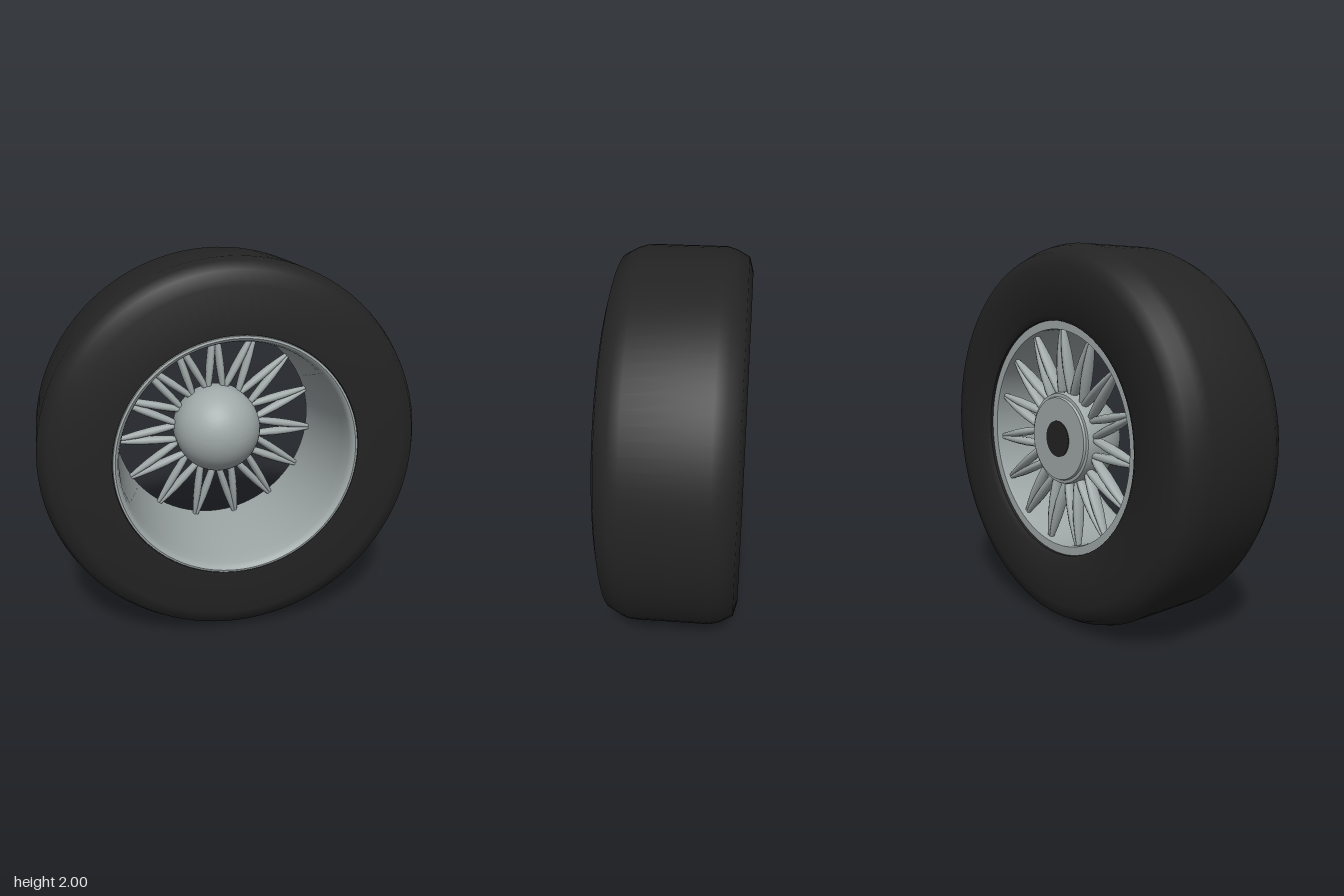
import * as THREE from 'three';
import { toCreasedNormals } from 'three/addons/utils/BufferGeometryUtils.js';

const rubber = new THREE.MeshStandardMaterial({ color: 0x232323 });
rubber.name = 'black rubber';
const metal = new THREE.MeshStandardMaterial({ color: 0xa0a8a8 });
metal.name = 'silver metal';

// Lathe around the z axle from [radius, z] pairs, running from back to front on the outside
function turned(name, profile, material, segments = 72) {
  const points = profile.map(([r, z]) => new THREE.Vector2(r, z));
  const geometry = new THREE.LatheGeometry(points, segments).rotateX(Math.PI / 2);
  const mesh = new THREE.Mesh(toCreasedNormals(geometry, 0.8), material);
  mesh.name = name;
  return mesh;
}

// Spindle-shaped strand between two points, deeper along z than it is wide
function spokeGeometry(from, to) {
  const length = from.distanceTo(to);
  const profile = [[0.012, 0], [0.02, 0.2], [0.023, 0.42], [0.021, 0.65], [0.015, 0.86], [0.009, 1]]
    .map(([r, t]) => new THREE.Vector2(r, t * length));
  const geometry = new THREE.LatheGeometry(profile, 10);
  geometry.scale(1, 1, 1.5);
  const direction = to.clone().sub(from).normalize();
  const turn = new THREE.Quaternion().setFromUnitVectors(new THREE.Vector3(0, 1, 0), direction);
  return geometry.applyQuaternion(turn).translate(from.x, from.y, from.z);
}

export function createModel() {
  const model = new THREE.Group();
  model.name = 'wheel';
  const wheel = new THREE.Group();
  wheel.name = 'wheelAssembly';
  wheel.position.y = 1;
  model.add(wheel);

  // Tyre with flat tread, rounded shoulders and flat side walls
  const shoulder = [[0.88, 0.335], [0.95, 0.315], [0.985, 0.25], [1, 0.2]];
  wheel.add(turned('tyre', [
    [0.612, -0.25], [0.612, -0.315], [0.64, -0.335],
    ...shoulder.map(([r, z]) => [r, -z]),
    ...shoulder.slice().reverse(),
    [0.64, 0.332], [0.62, 0.25], [0.612, -0.25],
  ], rubber, 96));

  // Deep rim barrel with a rolled front lip
  wheel.add(turned('rim', [
    [0.568, -0.3], [0.613, -0.3], [0.615, 0.28], [0.638, 0.32], [0.636, 0.335],
    [0.625, 0.338], [0.612, 0.33], [0.603, 0.3], [0.597, 0.22], [0.565, -0.28], [0.568, -0.3],
  ], metal, 96));

  // Hub: back plate, collar and a hemispherical front dome
  const dome = [];
  for (let i = 0; i <= 14; i++) {
    const a = (i / 14) * Math.PI / 2;
    dome.push([i === 14 ? 0 : 0.242 * Math.cos(a), -0.18 + 0.242 * Math.sin(a)]);
  }
  wheel.add(turned('hub', [
    [0, -0.292], [0.215, -0.292], [0.22, -0.28], [0.236, -0.278], [0.242, -0.26], ...dome,
  ], metal));

  // Dark axle bore on the back plate
  const bore = new THREE.Mesh(new THREE.CylinderGeometry(0.095, 0.095, 0.006, 40).rotateX(Math.PI / 2), rubber);
  bore.name = 'axleBore';
  bore.position.z = -0.293;
  wheel.add(bore);

  // Fifteen V-shaped spoke pairs, meeting at the rim
  const strands = [-1, 1].map(side => spokeGeometry(
    new THREE.Vector3(side * 0.044, 0.2, -0.225),
    new THREE.Vector3(side * 0.006, 0.572, -0.255)));
  for (let i = 0; i < 15; i++) {
    const pair = new THREE.Group();
    pair.name = 'spokePair';
    pair.rotation.z = (i / 15) * Math.PI * 2;
    for (const geometry of strands) {
      const strand = new THREE.Mesh(geometry, metal);
      strand.name = 'spoke';
      pair.add(strand);
    }
    wheel.add(pair);
  }
  return model;
}
